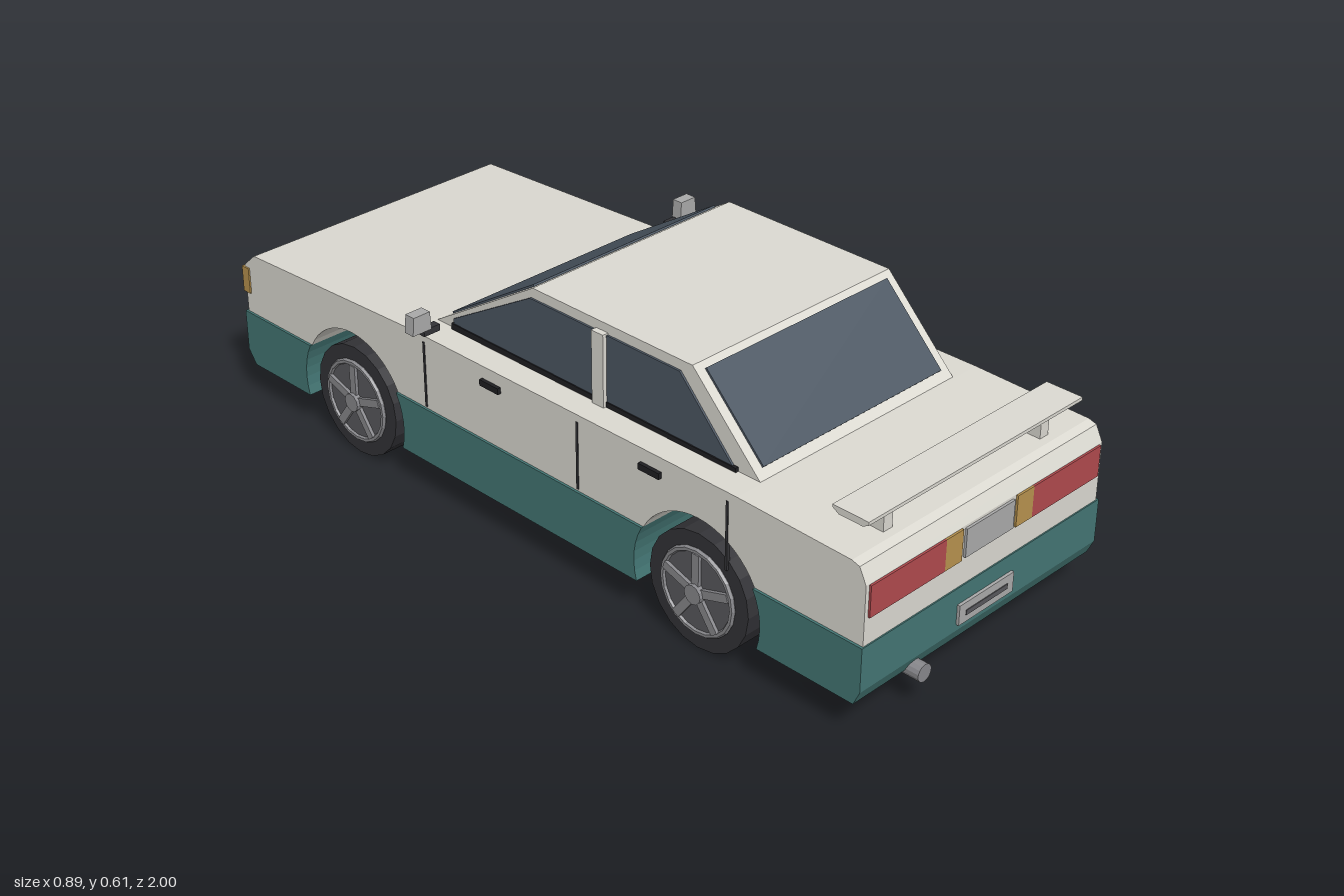
import * as THREE from 'three';

const mat = (color) => new THREE.MeshStandardMaterial({ color, flatShading: true });
const M = {
  cream: mat(0xdcdad2), teal: mat(0x447674), glass: mat(0x4c5763), dark: mat(0x333337), black: mat(0x1f1f22),
  grey: mat(0xaaaaaa), rim: mat(0x88888c), rimDark: mat(0x59595d), red: mat(0xb04a4e), amber: mat(0xb8934f),
};
const REAR = 0.535, FRONT = -0.575, AXLE = 0.143, ARCH = 0.18;

export function createModel() {
  const car = new THREE.Group();
  car.name = 'car';

  const add = (name, geo, m, parent = car) => {
    const mesh = new THREE.Mesh(geo, m);
    mesh.name = name;
    parent.add(mesh);
    return mesh;
  };
  // box given by its limits
  const box = (name, m, x0, x1, y0, y1, z0, z1) => add(name,
    new THREE.BoxGeometry(Math.abs(x1 - x0), y1 - y0, z1 - z0)
      .translate((x0 + x1) / 2, (y0 + y1) / 2, (z0 + z1) / 2), m);
  const pair = (name, m, x0, x1, ...rest) => {
    box(name + 'Left', m, x0, x1, ...rest);
    box(name + 'Right', m, -x0, -x1, ...rest);
  };
  // side profile of [z, y] points, extruded across x0..x1
  const profile = (name, m, pts, x0, x1) => {
    const shape = new THREE.Shape(pts.map(([z, y]) => new THREE.Vector2(z, y)));
    const geo = new THREE.ExtrudeGeometry(shape, { depth: x1 - x0, bevelEnabled: false });
    return add(name, geo.rotateY(-Math.PI / 2).translate(x1, 0, 0), m);
  };
  // points along a wheel arch
  const arc = (cz, a0, a1, n) => Array.from({ length: n + 1 }, (_, i) => {
    const a = a0 + (a1 - a0) * i / n;
    return [cz + ARCH * Math.cos(a), AXLE + ARCH * Math.sin(a)];
  });

  // upper body with the tops of the wheel arches
  const split = 0.23, floor = 0.09;
  const hi = Math.asin((split - AXLE) / ARCH), lo = Math.asin((floor - AXLE) / ARCH);
  profile('upperBody', M.cream, [
    [-0.98, split], ...arc(FRONT, Math.PI - hi, hi, 18), ...arc(REAR, Math.PI - hi, hi, 18),
    [0.978, split], [0.978, 0.372], [0.96, 0.408], [0.94, 0.414], [0.64, 0.42],
    [-0.36, 0.415], [-0.94, 0.39], [-0.98, 0.355],
  ], -0.377, 0.377);

  // lower body in three pieces between the arches
  profile('frontBumper', M.teal, [
    [-0.985, split], [-0.985, 0.125], [-0.96, floor], ...arc(FRONT, Math.PI - lo, Math.PI - hi, 6),
  ], -0.383, 0.383);
  profile('sill', M.teal, [
    ...arc(FRONT, hi, lo, 6), ...arc(REAR, Math.PI - lo, Math.PI - hi, 6),
  ], -0.383, 0.383);
  profile('rearBumper', M.teal, [
    ...arc(REAR, hi, lo, 6), [0.965, floor], [0.981, 0.125], [0.981, split],
  ], -0.383, 0.383);

  // cabin, windows and pillars
  profile('cabin', M.cream, [[-0.36, 0.41], [0.645, 0.41], [0.444, 0.612], [-0.03, 0.612]], -0.304, 0.304);
  const slab = (name, p, q, t) => {
    const d = Math.hypot(q[0] - p[0], q[1] - p[1]);
    const n = [-(q[1] - p[1]) / d * t, (q[0] - p[0]) / d * t];
    profile(name, M.glass, [p, q, [q[0] + n[0], q[1] + n[1]], [p[0] + n[0], p[1] + n[1]]], -0.28, 0.28);
  };
  slab('windshield', [-0.325, 0.431], [-0.052, 0.599], 0.005);
  slab('rearWindow', [0.456, 0.6], [0.618, 0.437], 0.005);
  for (const [side, s] of [['Left', 1], ['Right', -1]]) {
    const x0 = Math.min(s * 0.3, s * 0.309), x1 = x0 + 0.009;
    profile('sideWindow' + side, M.glass,
      [[-0.29, 0.42], [0.572, 0.42], [0.412, 0.588], [-0.035, 0.588], [-0.29, 0.442]], x0, x1);
  }
  pair('windowTrim', M.black, 0.3, 0.312, 0.415, 0.43, -0.295, 0.575);
  pair('doorPillar', M.cream, 0.3, 0.319, 0.415, 0.592, 0.165, 0.2);

  // door seams and handles
  for (const z of [0.615, 0.18, -0.315]) pair('doorSeam', M.dark, 0.37, 0.379, 0.235, 0.4, z - 0.003, z + 0.003);
  for (const z of [0.4, -0.09]) pair('doorHandle', M.black, 0.37, 0.386, 0.371, 0.386, z - 0.03, z + 0.03);

  // door mirrors
  pair('mirrorArm', M.dark, 0.36, 0.405, 0.437, 0.453, -0.297, -0.277);
  for (const [side, s] of [['Left', 1], ['Right', -1]]) {
    const shape = new THREE.Shape([[0.393, 0.499], [0.39, 0.455], [0.443, 0.455], [0.439, 0.499]]
      .map(([x, y]) => new THREE.Vector2(s * x, y)));
    const geo = new THREE.ExtrudeGeometry(shape, { depth: 0.028, bevelEnabled: false });
    add('mirror' + side, geo.translate(0, 0, -0.297), M.grey);
  }

  // rear spoiler
  profile('spoiler', M.cream, [[0.87, 0.467], [0.93, 0.467], [0.945, 0.475], [0.945, 0.483], [0.853, 0.483], [0.853, 0.477]], -0.338, 0.338);
  pair('spoilerPost', M.cream, 0.235, 0.262, 0.41, 0.47, 0.877, 0.92);

  // rear lights, panel, plate and exhaust
  pair('tailLight', M.red, 0.14, 0.367, 0.295, 0.37, 0.965, 0.983);
  pair('rearIndicator', M.amber, 0.087, 0.14, 0.295, 0.37, 0.965, 0.983);
  box('rearPanel', M.grey, -0.077, 0.077, 0.298, 0.366, 0.965, 0.984);
  box('rearPlate', M.grey, -0.088, 0.088, 0.141, 0.189, 0.97, 0.988);
  box('rearPlateBar', M.rimDark, -0.067, 0.067, 0.158, 0.17, 0.98, 0.99);
  add('exhaust', new THREE.CylinderGeometry(0.021, 0.021, 0.1, 14).rotateX(Math.PI / 2).translate(-0.205, 0.091, 0.95), M.rim);

  // front lights, grille and plate
  pair('headlight', M.grey, 0.135, 0.345, 0.283, 0.35, -0.987, -0.965);
  pair('frontIndicator', M.amber, 0.345, 0.381, 0.283, 0.35, -0.987, -0.962);
  box('grille', M.black, -0.135, 0.135, 0.283, 0.35, -0.99, -0.965);
  for (let i = 0; i < 4; i++) box('grilleBar', M.dark, -0.13, 0.13, 0.29 + i * 0.016, 0.296 + i * 0.016, -0.994, -0.98);
  box('bumperPanel', M.teal, -0.2, 0.2, 0.135, 0.195, -0.991, -0.975);
  box('frontPlate', M.grey, -0.088, 0.088, 0.141, 0.189, -0.997, -0.98);
  box('frontPlateBar', M.rimDark, -0.067, 0.067, 0.158, 0.171, -1, -0.99);

  // wheels, built with the outer face towards +x
  const disc = (r, x0, x1, n) => new THREE.CylinderGeometry(r, r, x1 - x0, n)
    .rotateZ(-Math.PI / 2).translate((x0 + x1) / 2, 0, 0);
  const makeWheel = (name, s, z) => {
    const wheel = new THREE.Group();
    wheel.name = name;
    wheel.position.set(s * 0.327, AXLE, z);
    if (s < 0) wheel.rotation.y = Math.PI;
    add('tyre', disc(0.141, -0.047, 0.047, 20), M.dark, wheel);
    add('rimDisc', disc(0.1, 0.04, 0.05, 20), M.rimDark, wheel);
    add('rimRing', new THREE.TorusGeometry(0.099, 0.007, 6, 20).rotateY(Math.PI / 2).translate(0.049, 0, 0), M.rim, wheel);
    for (let i = 0; i < 5; i++) {
      const spoke = new THREE.BoxGeometry(0.012, 0.09, 0.02).translate(0.052, 0.05, 0);
      add('spoke', spoke.rotateX(i * Math.PI * 2 / 5), M.rim, wheel);
    }
    add('hub', disc(0.023, 0.045, 0.066, 12), M.rim, wheel);
    car.add(wheel);
  };
  for (const [side, s] of [['Left', 1], ['Right', -1]]) {
    makeWheel('frontWheel' + side, s, FRONT);
    makeWheel('rearWheel' + side, s, REAR);
  }
  return car;
}
